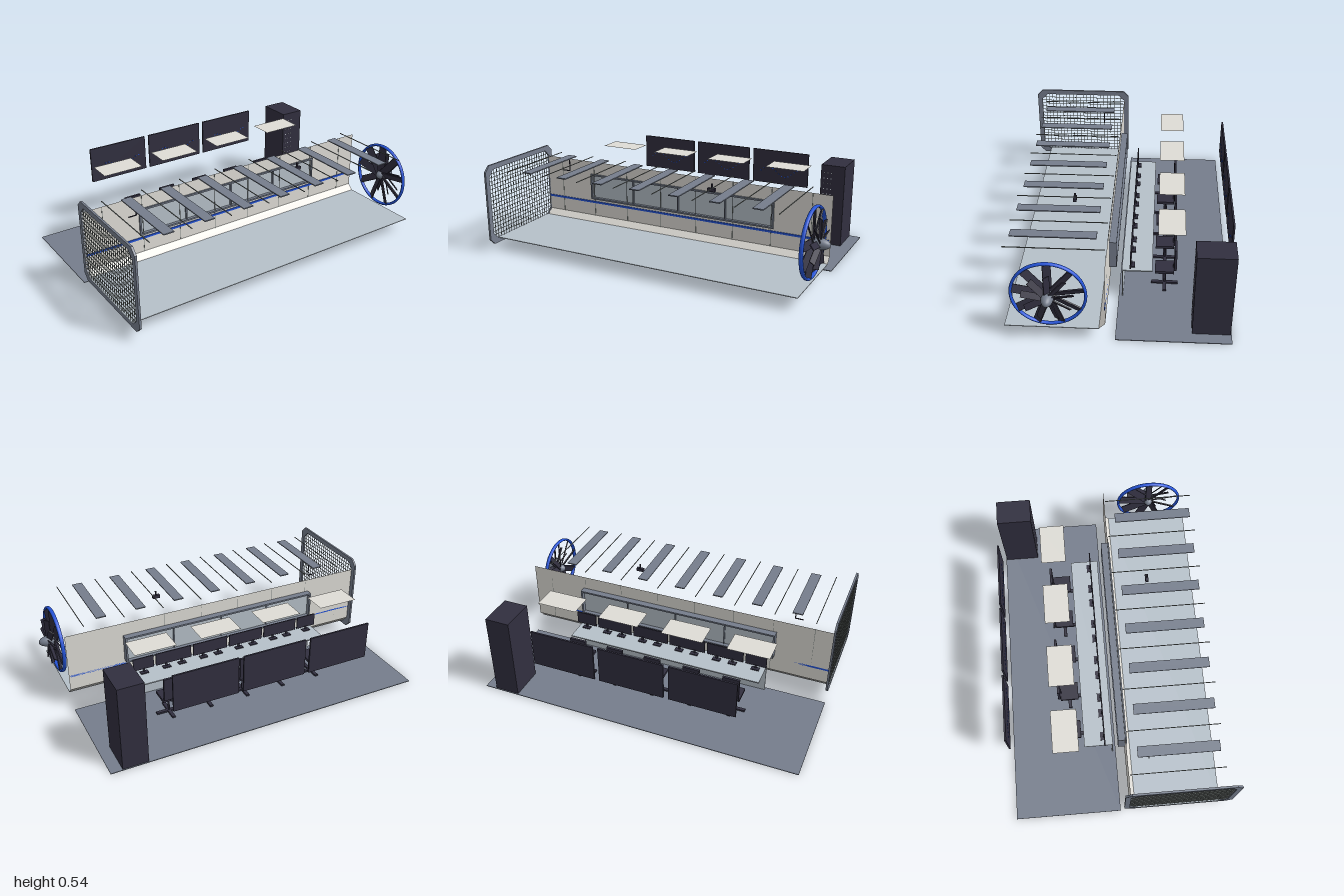
import * as THREE from 'three';

const mat = (name, color, side = THREE.FrontSide) => {
  const m = new THREE.MeshStandardMaterial({ color, side });
  m.name = name;
  return m;
};

export function createModel() {
  const root = new THREE.Group();
  root.name = 'windTunnelLab';
  const white = mat('offWhite', 0xdedcd6, THREE.DoubleSide);
  const steel = mat('paleSteel', 0xb6c0c9, THREE.DoubleSide);
  const slate = mat('slate', 0x757d8c, THREE.DoubleSide);
  const dark = mat('charcoal', 0x312f3f);
  const blue = mat('blue', 0x2453d6);
  const wire = mat('wireGrey', 0x7f8784);
  const lamp = mat('indicatorLight', 0xd5dce4);

  const group = (name, parent = root) => {
    const g = new THREE.Group();
    g.name = name;
    parent.add(g);
    return g;
  };
  const add = (name, geo, m, parent = root, p = [0, 0, 0]) => {
    const mesh = new THREE.Mesh(geo, m);
    mesh.name = name;
    mesh.position.set(...p);
    parent.add(mesh);
    return mesh;
  };
  // box given by its minimum and maximum on each axis
  const box = (name, m, [x0, x1], [y0, y1], [z0, z1], parent = root) =>
    add(name, new THREE.BoxGeometry(x1 - x0, y1 - y0, z1 - z0), m, parent,
      [(x0 + x1) / 2, (y0 + y1) / 2, (z0 + z1) / 2]);

  const X0 = -1, X1 = 0.915, L = X1 - X0, XC = (X0 + X1) / 2;

  // floors
  box('tunnelFloor', steel, [X0, X1], [0.073, 0.077], [0.063, 0.56]);
  box('controlRoomFloor', slate, [X0, X1], [0, 0.004], [-0.635, -0.02]);

  // tunnel wall with a window opening, and the sloped foot below it
  const rect = (P, x0, x1, y0, y1) => {
    const s = new P();
    s.moveTo(x0, y0); s.lineTo(x1, y0); s.lineTo(x1, y1); s.lineTo(x0, y1); s.closePath();
    return s;
  };
  const wall = rect(THREE.Shape, X0, X1, 0.11, 0.465);
  wall.holes.push(rect(THREE.Path, -0.65, 0.565, 0.23, 0.375));
  add('tunnelWall', new THREE.ShapeGeometry(wall), white, root, [0, 0, 0.03]);
  const foot = add('slopedWallFoot', new THREE.PlaneGeometry(L, 0.0485), white, root, [XC, 0.0935, 0.047]);
  foot.rotation.x = -Math.PI / 4;
  box('blueStripe', blue, [-0.99, 0.905], [0.194, 0.206], [0.03, 0.035]);

  // observation window
  const win = group('observationWindow');
  for (const y of [0.22, 0.375]) box('windowRail', slate, [-0.663, 0.577], [y, y + 0.01], [-0.01, 0.04], win);
  for (const x of [-0.663, 0.567]) box('windowPost', slate, [x, x + 0.01], [0.22, 0.385], [-0.01, 0.04], win);
  for (const x of [-0.355, -0.043, 0.27]) box('mullion', slate, [x - 0.004, x + 0.004], [0.225, 0.38], [0.008, 0.032], win);
  box('windowGlass', steel, [-0.655, 0.57], [0.228, 0.377], [0.015, 0.021], win);

  // panel ribs and ceiling light strips
  const ribs = group('panelRibs');
  for (let i = 0; i < 8; i++) {
    const x = -0.88 + i * 0.24;
    box('wallRib', wire, [x - 0.0015, x + 0.0015], [0.11, 0.465], [0.03, 0.032], ribs);
    box('ceilingRib', wire, [x - 0.002, x + 0.002], [0.499, 0.503], [0.035, 0.56], ribs);
  }
  const strips = group('ceilingStrips');
  for (let i = 0; i < 7; i++) {
    const x = -0.76 + i * 0.24;
    box('ceilingStrip', slate, [x - 0.03, x + 0.03], [0.5, 0.506], [0.085, 0.54], strips);
  }

  // inlet frame: an octagonal ring around a wire screen
  const octagon = (P, z0, z1, y0, y1, c) => new P([
    [z0 + c, y0], [z1 - c, y0], [z1, y0 + c], [z1, y1 - c],
    [z1 - c, y1], [z0 + c, y1], [z0, y1 - c], [z0, y0 + c],
  ].map(([z, y]) => new THREE.Vector2(-z, y)));
  const inlet = group('inlet');
  const ring = octagon(THREE.Shape, 0, 0.635, 0.047, 0.535, 0.035);
  ring.holes.push(octagon(THREE.Path, 0.03, 0.604, 0.076, 0.505, 0.037));
  const frame = add('inletFrame', new THREE.ExtrudeGeometry(ring, { depth: 0.012, bevelEnabled: false }), slate, inlet, [-1, 0, 0]);
  frame.rotation.y = Math.PI / 2;
  const t = 0.0013;
  for (let i = 1; i < 24; i++) {
    const z = 0.03 + i * 0.0239;
    box('verticalWire', wire, [-0.996, -0.993], [0.076, 0.505], [z - t, z + t], inlet);
  }
  for (let i = 1; i < 18; i++) {
    const y = 0.076 + i * 0.0238;
    box('horizontalWire', wire, [-0.996, -0.993], [y - t, y + t], [0.03, 0.604], inlet);
  }

  // fan with nine blades in a blue ring
  const fan = group('fan');
  fan.position.set(0, 0.29, 0.32);
  const hoop = add('fanRing', new THREE.TorusGeometry(0.193, 0.008, 10, 64), blue, fan, [0.906, 0, 0]);
  hoop.rotation.y = Math.PI / 2;
  hoop.scale.z = 1.5;
  const hub = add('fanHub', new THREE.SphereGeometry(0.033, 28, 18), slate, fan, [0.936, 0, 0]);
  hub.scale.x = 1.94;
  for (let i = 0; i < 9; i++) {
    const arm = group('fanBlade', fan);
    arm.rotation.x = (i / 9) * Math.PI * 2;
    const blade = add('blade', new THREE.BoxGeometry(0.007, 0.165, 0.045), dark, arm, [0.906, 0.103, 0]);
    blade.rotation.y = 0.5;
    const cuff = add('bladeRoot', new THREE.BoxGeometry(0.006, 0.115, 0.036), dark, arm, [0.94, 0.078, 0]);
    cuff.rotation.y = 0.7;
  }

  // flow probe and camera hanging in the tunnel
  const probe = group('flowProbe');
  box('probeStem', dark, [-0.74, -0.735], [0.425, 0.503], [0.148, 0.153], probe);
  box('probeTip', dark, [-0.785, -0.735], [0.423, 0.428], [0.148, 0.153], probe);
  const cam = group('camera');
  box('cameraMount', dark, [0.28, 0.288], [0.47, 0.503], [0.236, 0.246], cam);
  box('cameraBody', dark, [0.26, 0.305], [0.458, 0.478], [0.232, 0.25], cam);

  // control desk
  const desk = group('controlDesk');
  box('deskTop', steel, [-0.64, 0.555], [0.177, 0.184], [-0.205, -0.037], desk);
  box('deskFrontPanel', steel, [-0.64, 0.555], [0, 0.178], [-0.043, -0.037], desk);

  // five workstations, each with a chair and two monitors
  for (let i = 0; i < 5; i++) {
    const x = -0.515 + i * 0.2375;
    const chair = group('chair');
    chair.position.x = x;
    box('seat', dark, [-0.053, 0.053], [0.114, 0.13], [-0.327, -0.22], chair);
    box('backrest', dark, [-0.05, 0.05], [0.135, 0.275], [-0.341, -0.327], chair);
    box('backSupport', dark, [-0.01, 0.01], [0.115, 0.15], [-0.335, -0.322], chair);
    add('chairPost', new THREE.CylinderGeometry(0.006, 0.006, 0.1, 12), dark, chair, [0, 0.067, -0.275]);
    box('chairFootLong', dark, [-0.01, 0.01], [0.01, 0.02], [-0.35, -0.2], chair);
    box('chairFootWide', dark, [-0.075, 0.075], [0.01, 0.02], [-0.285, -0.265], chair);
    for (const s of [-0.07, 0.07]) {
      const monitor = group('monitor');
      monitor.position.x = x + s;
      box('monitorScreen', dark, [-0.063, 0.063], [0.205, 0.282], [-0.088, -0.081], monitor);
      box('monitorNeck', dark, [-0.006, 0.006], [0.186, 0.21], [-0.092, -0.086], monitor);
      box('monitorFoot', dark, [-0.024, 0.024], [0.184, 0.19], [-0.108, -0.08], monitor);
    }
  }

  // wall displays with a dotted trace
  for (const [x0, x1] of [[-0.637, -0.26], [-0.232, 0.147], [0.176, 0.553]]) {
    const display = group('wallDisplay');
    box('displayPanel', dark, [x0, x1], [0.283, 0.502], [-0.635, -0.625], display);
    for (let i = 0; i < 14; i++) {
      const x = x0 + 0.05 + i * 0.021, y = 0.36 + 0.03 * Math.sin(i * 0.6);
      box('traceDot', blue, [x, x + 0.008], [y, y + 0.005], [-0.625, -0.623], display);
    }
  }

  // equipment cabinet with indicator lights
  const cabinet = group('cabinet');
  box('cabinetBody', dark, [0.7, 0.847], [0, 0.505], [-0.63, -0.425], cabinet);
  for (let r = 0; r < 14; r++)
    for (let c = 0; c < 3; c++) {
      const x = 0.718 + c * 0.022, y = 0.025 + r * 0.033;
      box('indicator', lamp, [x, x + 0.005], [y, y + 0.005], [-0.425, -0.423], cabinet);
    }

  // overhead light panels of the control room
  for (const x of [-0.61, -0.232, 0.15, 0.535]) {
    const p = add('lightPanel', new THREE.PlaneGeometry(0.24, 0.145), white, root, [x, 0.503, -0.303]);
    p.rotation.x = -Math.PI / 2;
  }
  return root;
}
